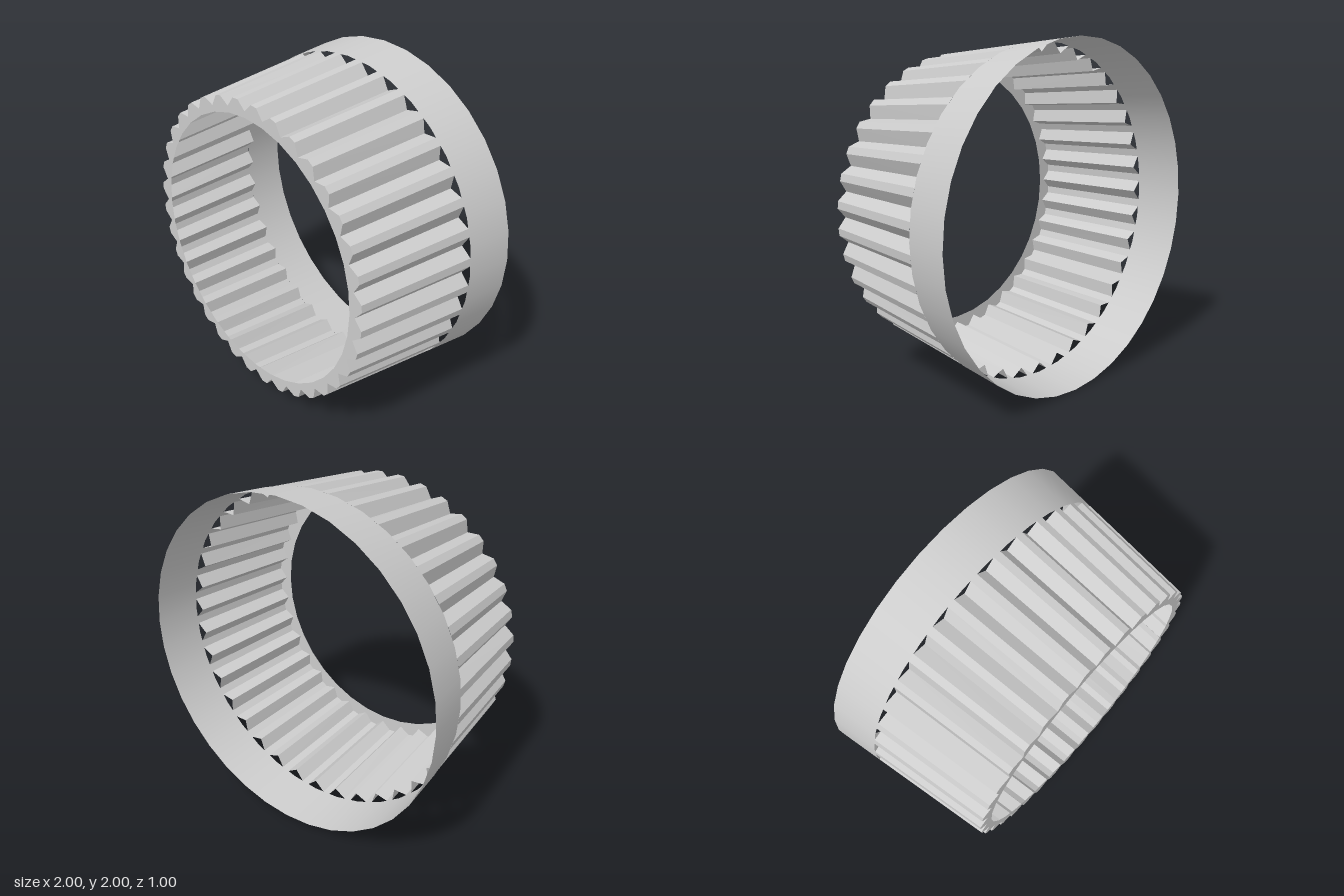
import * as THREE from 'three';

const PLEATS = 36;
const STEP = (Math.PI * 2) / PLEATS;
const HALF_VALLEY = THREE.MathUtils.degToRad(3.6);
const FRONT_Z = 0.5, SEAM_Z = -0.22, BACK_Z = -0.5;

// Closed outline of V-shaped valleys between flat-topped ridges
function pleatOutline(ridgeR, valleyR) {
  const points = [];
  const add = (r, a) => points.push(new THREE.Vector2(r * Math.cos(a), r * Math.sin(a)));
  for (let i = 0; i < PLEATS; i++) {
    const a = i * STEP;
    add(valleyR, a);
    add(ridgeR, a + HALF_VALLEY);
    add(ridgeR, a + STEP - HALF_VALLEY);
  }
  return points;
}

// Flat-shaded wall joining two outlines of equal length
function loftWall(back, zBack, front, zFront) {
  const positions = [];
  for (let i = 0; i < back.length; i++) {
    const j = (i + 1) % back.length;
    const a = [back[i].x, back[i].y, zBack], b = [back[j].x, back[j].y, zBack];
    const c = [front[j].x, front[j].y, zFront], d = [front[i].x, front[i].y, zFront];
    positions.push(...a, ...b, ...c, ...a, ...c, ...d);
  }
  const geometry = new THREE.BufferGeometry();
  geometry.setAttribute('position', new THREE.Float32BufferAttribute(positions, 3));
  geometry.computeVertexNormals();
  return geometry;
}

export function createModel() {
  const group = new THREE.Group();
  group.name = 'pleatedRing';
  const smooth = new THREE.MeshStandardMaterial({ color: 0xcccccc, side: THREE.DoubleSide });
  const flat = new THREE.MeshStandardMaterial({ color: 0xcccccc, side: THREE.DoubleSide, flatShading: true });

  const add = (name, geometry, material) => {
    const mesh = new THREE.Mesh(geometry, material);
    mesh.name = name;
    mesh.position.y = 1;
    group.add(mesh);
  };

  // Smooth tapered band at the back
  const band = new THREE.CylinderGeometry(0.97, 1, SEAM_Z - BACK_Z, PLEATS, 1, true);
  band.rotateX(Math.PI / 2).translate(0, 0, (SEAM_Z + BACK_Z) / 2);
  add('backBand', band, smooth);

  // Tapered pleated wall
  const front = pleatOutline(0.888, 0.837);
  const back = pleatOutline(0.967, 0.912);
  add('pleatedWall', loftWall(back, SEAM_Z, front, FRONT_Z), flat);

  // Flat front rim between the pleats and the round opening
  const rim = new THREE.Shape(front);
  const opening = [];
  for (let i = 0; i < PLEATS; i++) {
    opening.push(new THREE.Vector2(0.8 * Math.cos(i * STEP), 0.8 * Math.sin(i * STEP)));
  }
  rim.holes.push(new THREE.Path(opening));
  add('frontRim', new THREE.ShapeGeometry(rim).translate(0, 0, FRONT_Z), flat);

  return group;
}
